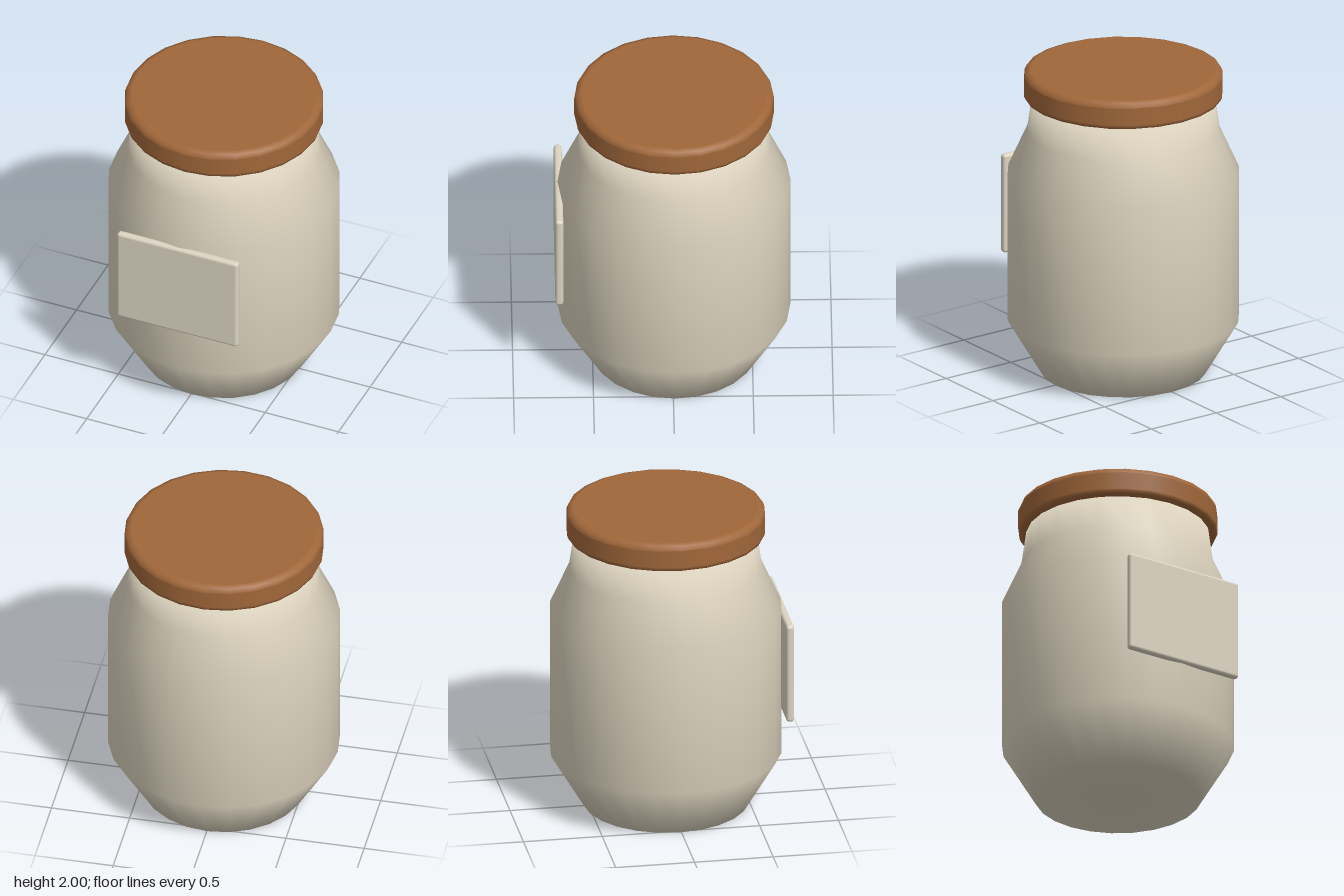
import * as THREE from 'three';
import { RoundedBoxGeometry } from 'three/addons/geometries/RoundedBoxGeometry.js';

const SIDES = 24;

function material(name, color) {
  const m = new THREE.MeshStandardMaterial({ color });
  m.name = name;
  return m;
}

// Turned part from [radius, height] pairs, listed from bottom to top
function turned(name, profile, mat) {
  const points = profile.map(([r, y]) => new THREE.Vector2(r, y));
  const mesh = new THREE.Mesh(new THREE.LatheGeometry(points, SIDES), mat);
  mesh.name = name;
  mesh.position.z = -0.011;
  return mesh;
}

export function createModel() {
  const cream = material('cream ceramic', 0xdcd3be);
  const paper = material('cream label', 0xdcd4c2);
  const wood = material('brown wood', 0xa0673a);

  const model = new THREE.Group();
  model.name = 'jar';

  // Body: tapered foot, straight belly, sloping shoulder and neck
  model.add(turned('body', [
    [0, 0], [0.52, 0], [0.728, 0.35], [0.728, 1.325],
    [0.605, 1.6], [0.573, 1.83], [0, 1.83],
  ], cream));

  // Lid: disc with softened rims; the extra inner rings keep its faces flat
  model.add(turned('lid', [
    [0, 1.818], [0.585, 1.818], [0.6, 1.818], [0.618, 1.825], [0.625, 1.842],
    [0.625, 1.85], [0.625, 1.958], [0.625, 1.965], [0.614, 1.99],
    [0.588, 2], [0.58, 2], [0, 2],
  ], wood));

  // Label plate on the front
  const label = new THREE.Mesh(new RoundedBoxGeometry(0.824, 0.655, 0.05, 3, 0.02), paper);
  label.name = 'label';
  label.position.set(0, 0.977, 0.712);
  model.add(label);

  return model;
}
